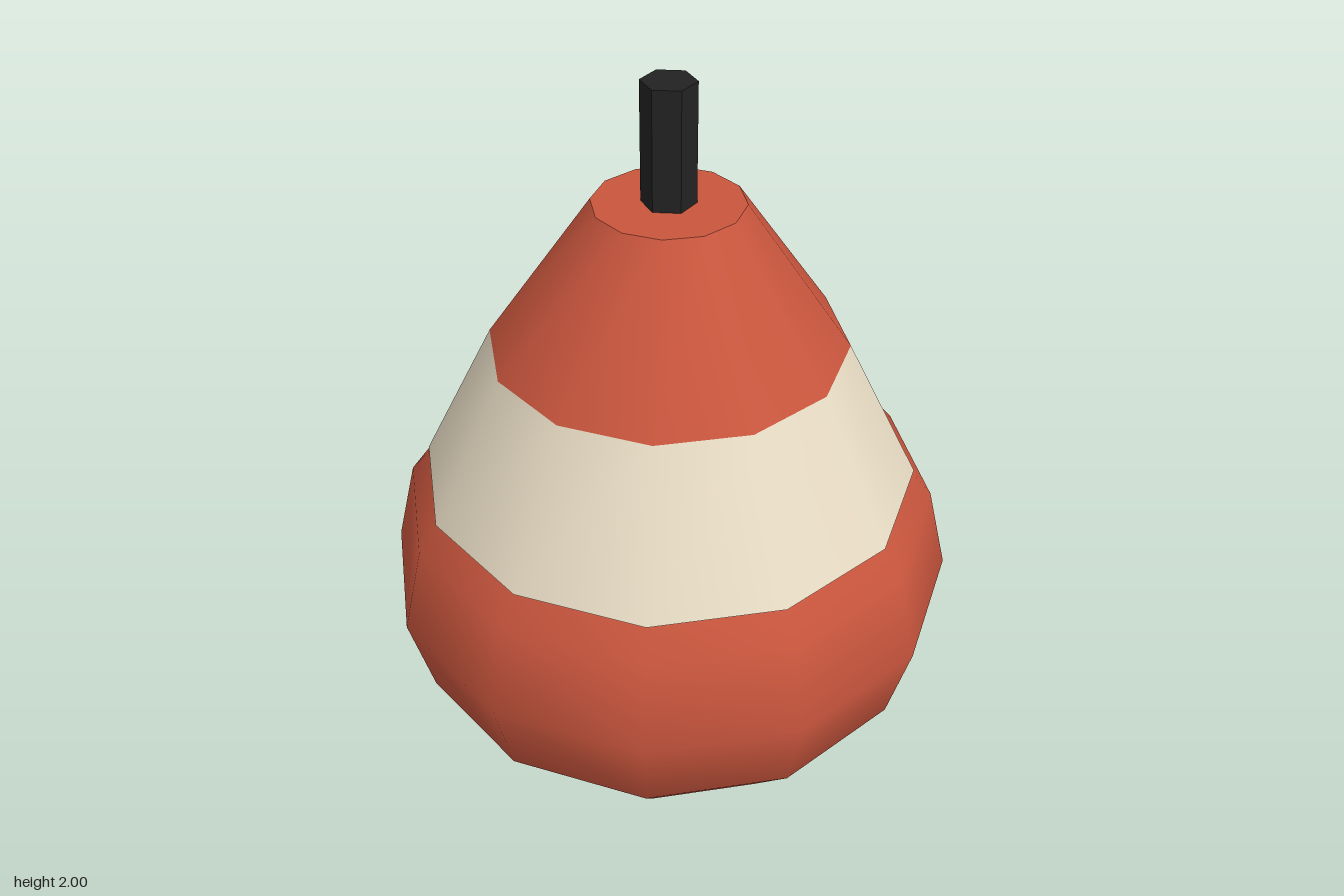
import * as THREE from 'three';

const SIDES = 12;

export function createModel() {
  const model = new THREE.Group();
  model.name = 'buoy';

  const red = new THREE.MeshStandardMaterial({ color: 0xc8553d });
  const cream = new THREE.MeshStandardMaterial({ color: 0xe8dcc4 });
  const black = new THREE.MeshStandardMaterial({ color: 0x222222, flatShading: true });

  const add = (name, geometry, material, y) => {
    const mesh = new THREE.Mesh(geometry, material);
    mesh.name = name;
    mesh.position.y = y;
    model.add(mesh);
    return mesh;
  };

  // Upright frustum given by its end radii and heights
  const frustum = (name, rTop, rBottom, y0, y1, sides, material) =>
    add(name, new THREE.CylinderGeometry(rTop, rBottom, y1 - y0, sides), material, (y0 + y1) / 2);

  // Slightly squashed float
  const float = new THREE.SphereGeometry(0.765, SIDES, 8);
  float.scale(1, 0.612 / 0.765, 1);
  add('float', float, red, 0.615);

  // Tapering body: cream band, then red top
  frustum('band', 0.46, 0.655, 0.925, 1.31, SIDES, cream);
  frustum('upperCone', 0.19, 0.46, 1.31, 1.695, SIDES, red);

  // Hexagonal post
  frustum('post', 0.068, 0.068, 1.62, 2, 6, black);

  return model;
}
